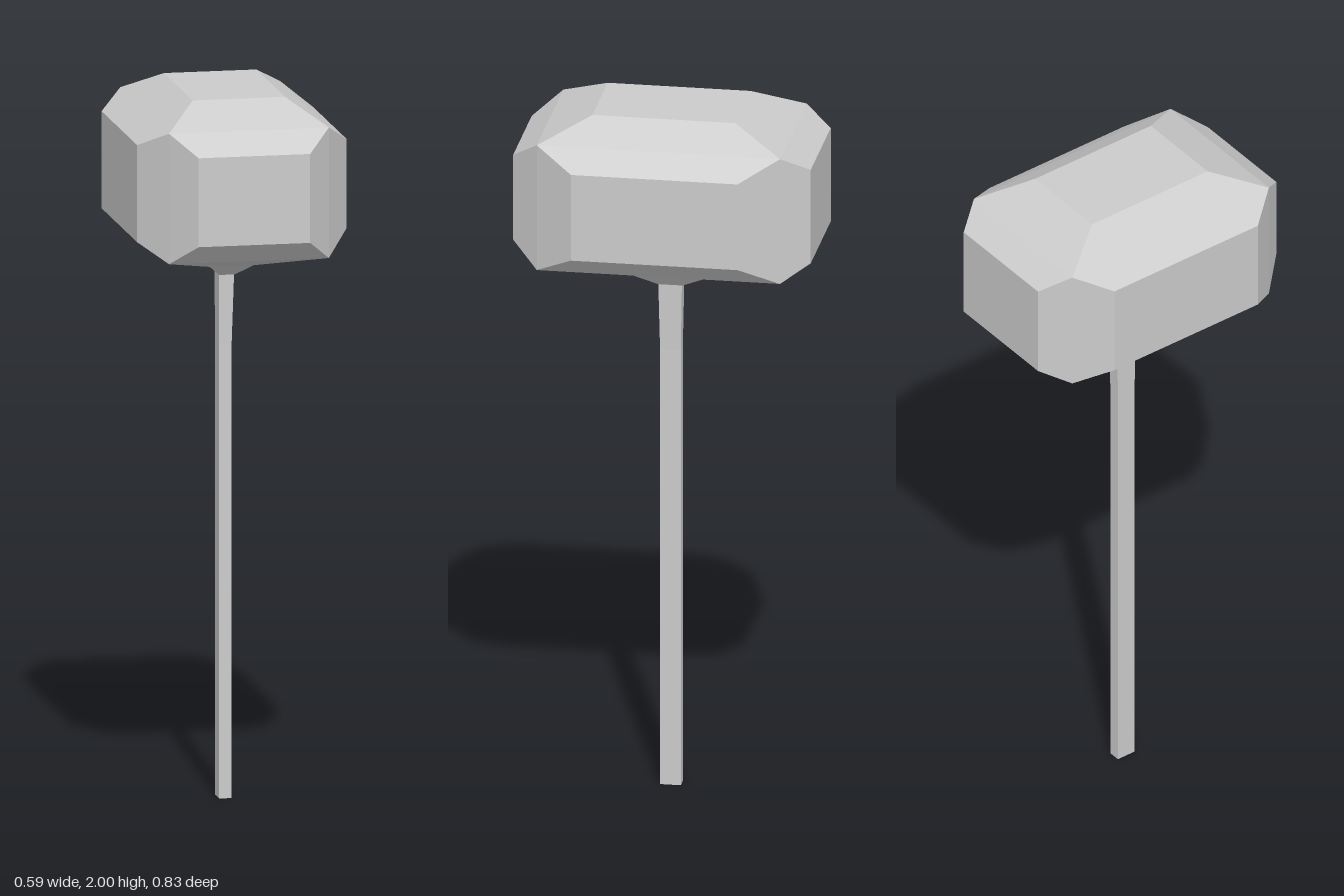
import * as THREE from 'three';

const material = new THREE.MeshStandardMaterial({ color: 0xcccccc, flatShading: true });

// Flat-faced mesh from quads, each turned to face away from the centre
function meshFromQuads(name, quads, centre) {
  const points = [];
  for (const quad of quads) {
    let [a, b, c, d] = quad.map(p => new THREE.Vector3(...p));
    const normal = c.clone().sub(a).cross(d.clone().sub(b));
    const middle = a.clone().add(b).add(c).add(d).multiplyScalar(0.25);
    if (normal.dot(middle.sub(centre)) < 0) [b, d] = [d, b];
    points.push(a, b, c, a, c, d);
  }
  const geometry = new THREE.BufferGeometry().setFromPoints(points);
  geometry.computeVertexNormals();
  const mesh = new THREE.Mesh(geometry, material);
  mesh.name = name;
  return mesh;
}

// The named points around one upright corner of the head
function corner(sx, sz) {
  const endX = sz > 0 ? 0.157 : 0.17, sideZ = sx > 0 ? 0.233 : 0.248;
  const endY = sz > 0 ? [1.88, 1.63] : [1.89, 1.615];
  const sideY = sx > 0 ? [1.882, 1.63] : [1.89, 1.617];
  const at = (x, y, z) => [sx * x, y, sz * z];
  return {
    top: at(0.13, 2, 0.2),
    upper: at(0.225, 1.937, 0.34),
    lower: at(0.225, 1.57, 0.34),
    endTop: at(endX, endY[0], 0.417), endLow: at(endX, endY[1], 0.417),
    sideTop: at(0.296, sideY[0], sideZ), sideLow: at(0.296, sideY[1], sideZ),
    collar: at(0.062, 1.51, 0.1),
    neck: at(0.022, 1.473, 0.034)
  };
}

function createHead() {
  const quads = [];
  const strip = (a, b, keys) => {
    for (let i = 0; i + 1 < keys.length; i++) {
      quads.push([a[keys[i]], b[keys[i]], b[keys[i + 1]], a[keys[i + 1]]]);
    }
  };
  const [fl, fr, br, bl] = [corner(1, 1), corner(-1, 1), corner(-1, -1), corner(1, -1)];

  // Striking ends, long sides and their bevels, down to the neck
  const endKeys = ['top', 'upper', 'endTop', 'endLow', 'lower', 'collar', 'neck'];
  const sideKeys = ['top', 'upper', 'sideTop', 'sideLow', 'lower', 'collar', 'neck'];
  strip(fl, fr, endKeys);
  strip(br, bl, endKeys);
  strip(bl, fl, sideKeys);
  strip(fr, br, sideKeys);

  // Upright corner bevels, folded along the middle
  for (const c of [fl, fr, br, bl]) {
    quads.push([c.upper, c.endTop, c.endLow, c.lower], [c.upper, c.sideTop, c.sideLow, c.lower]);
  }

  // Top and underside
  quads.push([fl.top, fr.top, br.top, bl.top], [fl.neck, fr.neck, br.neck, bl.neck]);
  return meshFromQuads('head', quads, new THREE.Vector3(0, 1.75, 0));
}

// Slim rectangular handle that widens slightly under the head
function createHandle() {
  const levels = [
    { y: 0, x: [-0.021, 0.014], z: [-0.028, 0.03] },
    { y: 1.28, x: [-0.021, 0.014], z: [-0.028, 0.03] },
    { y: 1.475, x: [-0.022, 0.02], z: [-0.032, 0.034] }
  ];
  const rings = levels.map(({ y, x, z }) =>
    [[x[0], y, z[0]], [x[1], y, z[0]], [x[1], y, z[1]], [x[0], y, z[1]]]);
  const quads = [rings[0], rings[2]];
  for (let i = 0; i < 2; i++) {
    for (let j = 0; j < 4; j++) {
      const k = (j + 1) % 4;
      quads.push([rings[i][j], rings[i][k], rings[i + 1][k], rings[i + 1][j]]);
    }
  }
  return meshFromQuads('handle', quads, new THREE.Vector3(-0.003, 0.9, 0));
}

export function createModel() {
  const model = new THREE.Group();
  model.name = 'mallet';
  model.add(createHead(), createHandle());
  return model;
}
